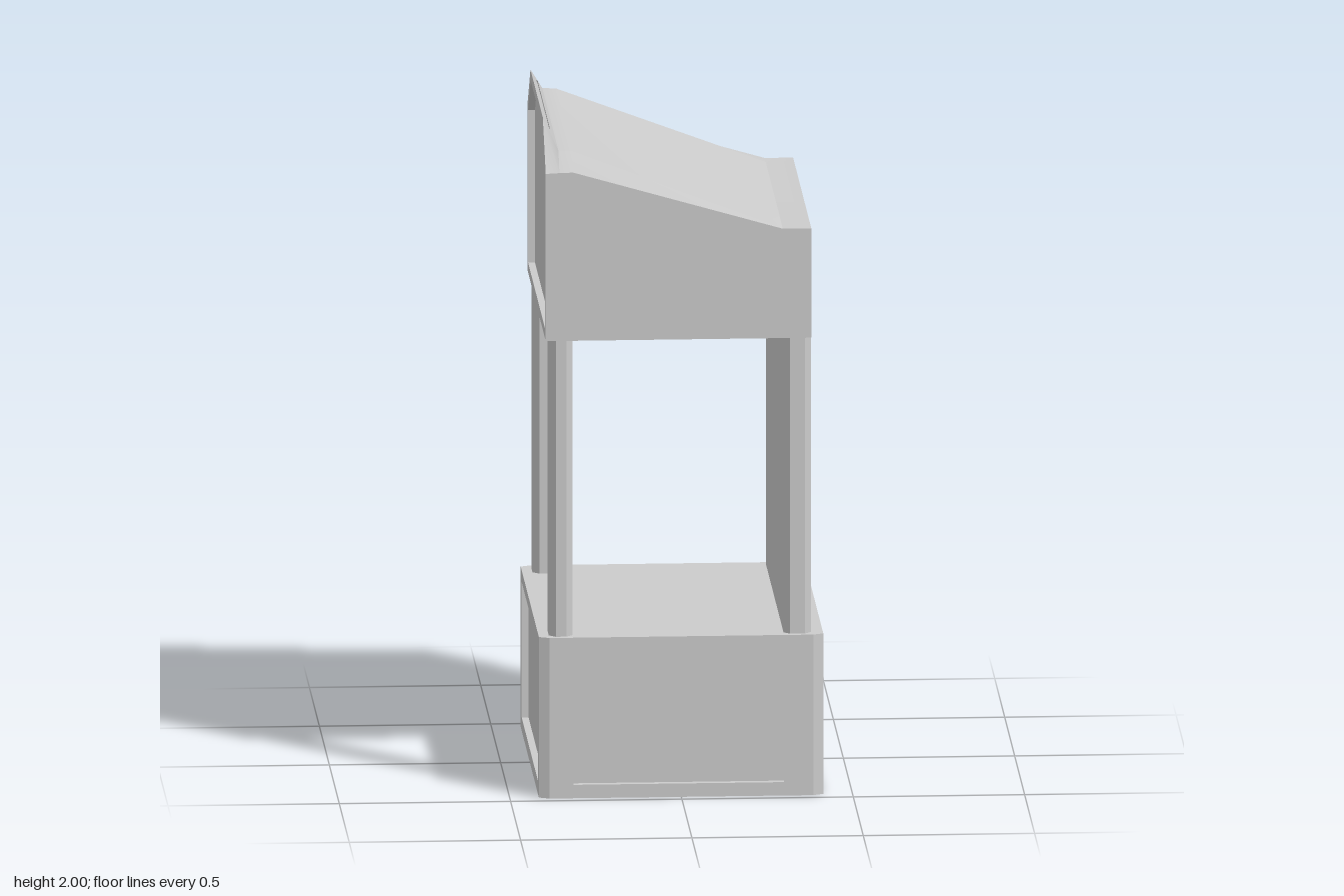
import * as THREE from 'three';
import { toCreasedNormals } from 'three/addons/utils/BufferGeometryUtils.js';

const mat = new THREE.MeshStandardMaterial({ color: 0xcccccc });

function add(parent, geometry, name) {
  const mesh = new THREE.Mesh(geometry, mat);
  mesh.name = name;
  parent.add(mesh);
  return mesh;
}

// Vertical prism from [x, z] plan points
function prism(points, y0, y1) {
  const shape = new THREE.Shape(points.map(([x, z]) => new THREE.Vector2(x, -z)));
  const g = new THREE.ExtrudeGeometry(shape, { depth: y1 - y0, bevelEnabled: false });
  return g.rotateX(-Math.PI / 2).translate(0, y0, 0);
}

// Plan rectangle with cut corners
function cutRect(x0, x1, z0, z1, cx, cz) {
  return [
    [x0 + cx, z0], [x1 - cx, z0], [x1, z0 + cz], [x1, z1 - cz],
    [x1 - cx, z1], [x0 + cx, z1], [x0, z1 - cz], [x0, z0 + cz],
  ];
}

// Upright rectangular frame around a recessed panel
function frame(half, hole0, hole1, depth) {
  const rect = (p, x0, x1, y0, y1) =>
    p.moveTo(x0, y0).lineTo(x1, y0).lineTo(x1, y1).lineTo(x0, y1).closePath();
  const shape = rect(new THREE.Shape(), -half, half, 0, 0.48);
  shape.holes.push(rect(new THREE.Path(), hole0, hole1, 0.04, 0.445));
  return new THREE.ExtrudeGeometry(shape, { depth, bevelEnabled: false });
}

// Skin over rings of equal point count, closed at both ends
function loft(rings) {
  const n = rings[0].length;
  const index = [];
  for (let i = 0; i < rings.length - 1; i++) {
    for (let j = 0; j < n; j++) {
      const k = (j + 1) % n;
      const a = i * n + j, b = i * n + k, c = b + n, d = a + n;
      index.push(a, b, c, a, c, d);
    }
  }
  const last = (rings.length - 1) * n;
  for (let j = 1; j < n - 1; j++) {
    index.push(0, j + 1, j, last, last + j, last + j + 1);
  }
  const g = new THREE.BufferGeometry();
  g.setAttribute('position', new THREE.Float32BufferAttribute(rings.flat(2), 3));
  g.setIndex(index);
  return toCreasedNormals(g, 0.35);
}

export function createModel() {
  const model = new THREE.Group();
  model.name = 'cabinet';

  // Base: core with a framed recess on each side
  const base = new THREE.Group();
  base.name = 'base';
  model.add(base);
  add(base, new THREE.BoxGeometry(0.79, 0.48, 0.9).translate(0, 0.24, 0), 'baseCore');
  add(base, frame(0.385, -0.315, 0.30, 0.02).translate(0, 0, 0.45), 'frontFrame');
  add(base, frame(0.385, -0.30, 0.315, 0.02).translate(0, 0, 0.45).rotateY(Math.PI), 'backFrame');
  for (const s of [1, -1]) {
    const side = frame(0.455, -0.405, 0.405, 0.02).translate(0, 0, 0.395);
    add(base, side.rotateY(s * Math.PI / 2), s > 0 ? 'leftFrame' : 'rightFrame');
    // Cut corners
    for (const t of [1, -1]) {
      const corner = [[0.385, 0.47], [0.415, 0.455], [0.395, 0.455], [0.395, 0.45], [0.385, 0.45]];
      add(base, prism(corner.map(([x, z]) => [x * s, z * t]), 0, 0.48), 'baseCorner');
    }
  }

  // Solid wall on one side, two posts on the other
  add(model, prism(cutRect(0.30, 0.38, -0.455, 0.455, 0.018, 0.02), 0.48, 1.365), 'wall');
  add(model, prism(cutRect(-0.385, -0.315, 0.36, 0.455, 0.02, 0.02), 0.48, 1.365), 'frontPost');
  add(model, prism(cutRect(-0.385, -0.315, -0.455, -0.36, 0.02, 0.02), 0.48, 1.365), 'backPost');

  // Head: sloping roof with tapering chamfers and a recessed end panel
  const ring = (x, w, bottom, edge, half, top) => [
    [x, bottom, -w], [x, edge, -w], [x, top, -half],
    [x, top, half], [x, edge, w], [x, bottom, w],
  ];
  const head = loft([
    ring(-0.375, 0.427, 1.395, 1.852, 0.298, 1.97),
    ring(-0.395, 0.427, 1.395, 1.852, 0.298, 1.97),
    ring(-0.395, 0.457, 1.365, 1.865, 0.31, 2.0),
    ring(-0.355, 0.457, 1.365, 1.867, 0.405, 1.922),
    ring(-0.315, 0.457, 1.365, 1.868, 0.405, 1.92),
    ring(0.297, 0.457, 1.365, 1.692, 0.405, 1.692),
    ring(0.38, 0.457, 1.365, 1.692, 0.405, 1.692),
  ]);
  add(model, head, 'head');

  return model;
}
